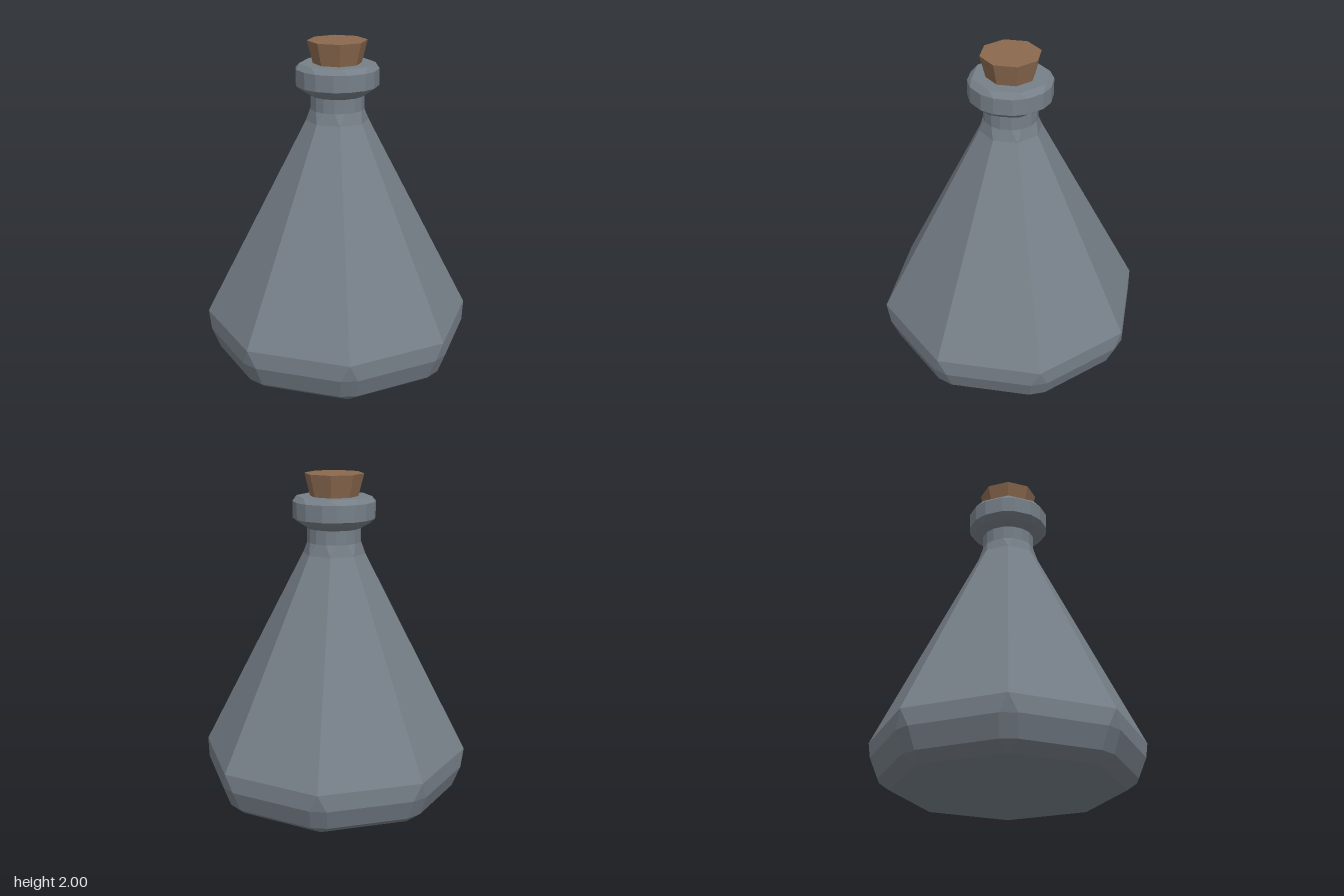
import * as THREE from 'three';

const SIDES = 8;

// One octagonal ring whose corners (on the axes and diagonals) are cut by half-width c.
function ring([y, r, c = 0]) {
  const inset = r - c * Math.tan(Math.PI / SIDES);
  const points = [];
  for (let i = 0; i < SIDES; i++) {
    const a = (i / SIDES) * Math.PI * 2;
    for (const s of [-1, 1]) {
      points.push(new THREE.Vector3(
        Math.cos(a) * inset - Math.sin(a) * c * s,
        y,
        Math.sin(a) * inset + Math.cos(a) * c * s
      ));
    }
  }
  return points;
}

// Skins a stack of rings from bottom to top, skipping collapsed triangles.
function skin(rows) {
  const rings = rows.map(ring);
  const positions = [];
  const triangle = (a, b, c) => {
    if (new THREE.Triangle(a, b, c).getArea() < 1e-7) return;
    for (const p of [a, b, c]) positions.push(p.x, p.y, p.z);
  };
  for (let k = 0; k < rings.length - 1; k++) {
    const low = rings[k], high = rings[k + 1];
    for (let i = 0; i < low.length; i++) {
      const j = (i + 1) % low.length;
      triangle(low[j], low[i], high[i]);
      triangle(low[j], high[i], high[j]);
    }
  }
  const geometry = new THREE.BufferGeometry();
  geometry.setAttribute('position', new THREE.Float32BufferAttribute(positions, 3));
  geometry.computeVertexNormals();
  return geometry;
}

function part(name, color, rows) {
  const material = new THREE.MeshStandardMaterial({ color, flatShading: true });
  const mesh = new THREE.Mesh(skin(rows), material);
  mesh.name = name;
  return mesh;
}

export function createModel() {
  const group = new THREE.Group();
  group.name = 'corkedFlask';
  const glass = 0x767f88, wood = 0x8b6a4f;

  // Rows are [height, radius, corner cut]
  group.add(part('body', glass, [
    [0, 0], [0, 0.69], [0.055, 0.775, 0.05], [0.18, 0.825, 0.05],
    [0.285, 0.823], [1.52, 0.19],
  ]));

  // Neck, blending from the sharp octagon to a rounder section
  group.add(part('neck', glass, [
    [1.52, 0.19], [1.59, 0.173, 0.03], [1.675, 0.173, 0.03],
  ]));

  // Lip with bevelled rims, closed around the cork
  group.add(part('lip', glass, [
    [1.675, 0.173, 0.03], [1.705, 0.22], [1.735, 0.265, 0.043],
    [1.835, 0.265, 0.043], [1.865, 0.228], [1.865, 0.13],
  ]));

  // Tapered cork
  group.add(part('cork', wood, [
    [1.82, 0], [1.82, 0.135], [2, 0.18], [2, 0],
  ]));

  return group;
}
